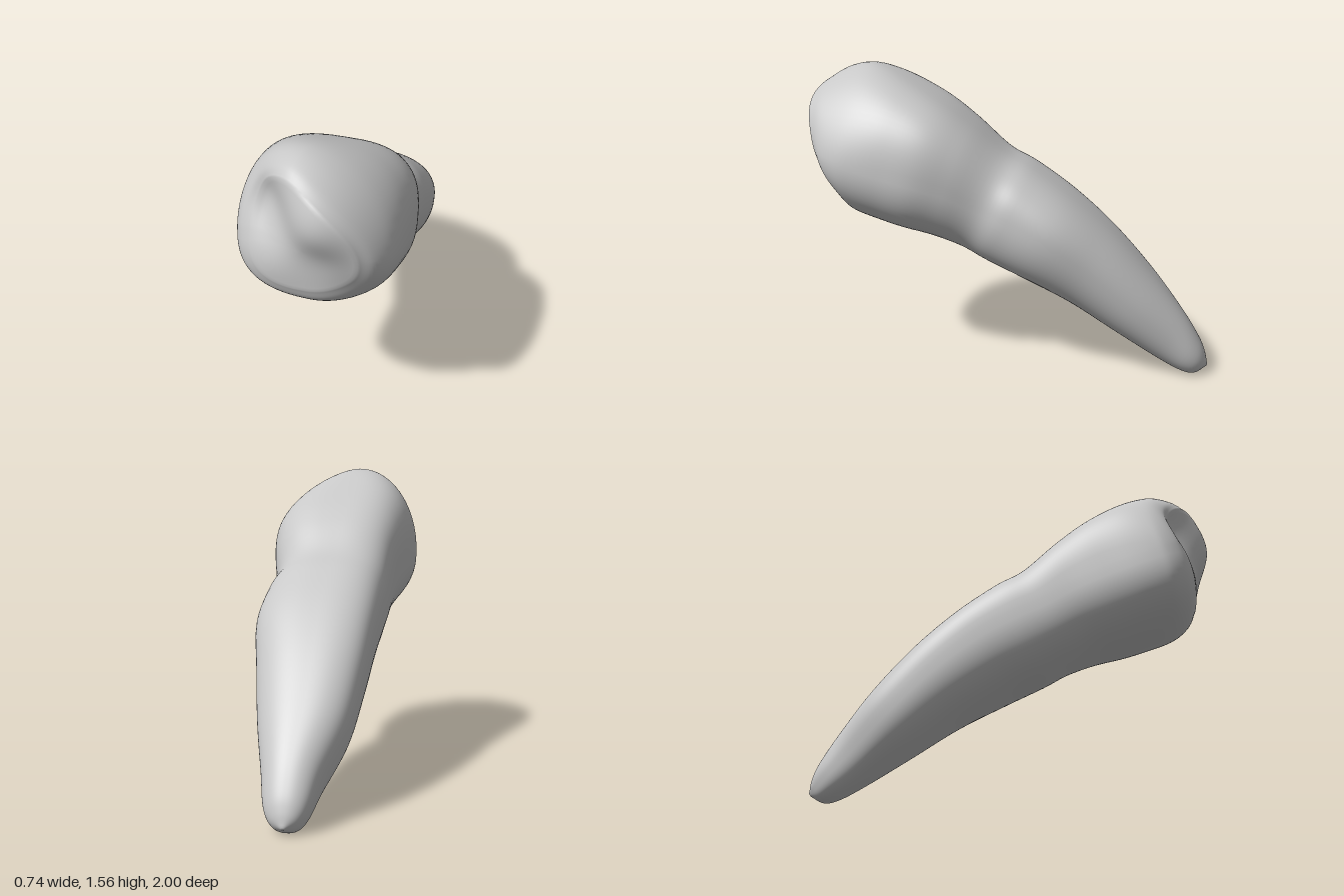
import * as THREE from 'three';
import { mergeVertices } from 'three/addons/utils/BufferGeometryUtils.js';

// Cross-sections from root tip to crown:
// top z, top y, bottom z, bottom y, min x, max x, height of widest level (0..1),
// roundness exponent of the upper half, strength of the chewing surface shape
const SECTIONS = [
  [-1.0, 0.045, -0.99, 0.03, -0.03, -0.01, 0.5, 2, 0],
  [-0.985, 0.11, -0.93, 0.0, -0.085, 0.05, 0.5, 2, 0],
  [-0.95, 0.19, -0.86, 0.015, -0.12, 0.09, 0.5, 2, 0],
  [-0.86, 0.33, -0.74, 0.08, -0.155, 0.125, 0.5, 2.1, 0],
  [-0.7, 0.53, -0.52, 0.22, -0.235, 0.19, 0.52, 2.2, 0],
  [-0.5, 0.75, -0.28, 0.38, -0.27, 0.25, 0.55, 2.3, 0],
  [-0.3, 0.93, -0.04, 0.51, -0.285, 0.305, 0.57, 2.4, 0],
  [-0.1, 1.07, 0.14, 0.59, -0.295, 0.3, 0.55, 2.4, 0],
  [0.04, 1.145, 0.26, 0.65, -0.3, 0.285, 0.52, 2.4, 0],
  [0.2, 1.285, 0.4, 0.71, -0.31, 0.33, 0.49, 2.7, 0],
  [0.34, 1.39, 0.55, 0.75, -0.335, 0.365, 0.46, 2.7, 0.03],
  [0.5, 1.48, 0.68, 0.785, -0.36, 0.365, 0.43, 2.35, 0.15],
  [0.64, 1.54, 0.78, 0.815, -0.37, 0.355, 0.41, 1.95, 0.35],
  [0.74, 1.555, 0.84, 0.845, -0.365, 0.335, 0.4, 1.75, 0.6],
  [0.83, 1.53, 0.885, 0.89, -0.33, 0.295, 0.41, 1.7, 0.85],
  [0.88, 1.49, 0.905, 0.95, -0.27, 0.235, 0.42, 1.8, 1],
];
const NECK = 8; // section where root meets crown
const STEPS = 6, SIDES = 72, CAP = 14;
const TILT = 0.17;

// Chewing surface relief: x, y, width x, width y, height
const RELIEF = [
  [0.05, 1.34, 0.14, 0.15, 0.105],
  [-0.2, 1.04, 0.13, 0.12, 0.035],
  [-0.2, 1.33, 0.09, 0.11, -0.085],
  [0.06, 1.15, 0.1, 0.08, -0.015],
  [0.26, 0.9, 0.12, 0.12, -0.07],
];
const relief = (x, y) => RELIEF.reduce((sum, [cx, cy, wx, wy, h]) =>
  sum + h * Math.exp(-0.5 * (((x - cx) / wx) ** 2 + ((y - cy) / wy) ** 2)), 0);

// Smooth interpolation of the section table, three columns per curve
const curves = [0, 3, 6].map((k) => new THREE.CatmullRomCurve3(
  SECTIONS.map((r) => new THREE.Vector3(r[k], r[k + 1], r[k + 2])), false, 'catmullrom', 0.5));

function ring(t, scale = 1) {
  const [zt, yt, zb, yb, x0, x1, wide, upper, front] = curves.flatMap((c) => c.getPoint(t).toArray());
  const cx = (x0 + x1) / 2, half = (x1 - x0) / 2;
  const points = [];
  for (let j = 0; j < SIDES; j++) {
    const a = (j / SIDES) * Math.PI * 2;
    const c = Math.cos(a), s = Math.sin(a);
    // The right side (-x) is squarer than the left
    const n = s < 0 ? (c < 0 ? 2.8 : 2.05) : upper + (c < 0 ? 0.4 * (1 - front) : 0);
    const px = Math.sign(c) * Math.abs(c) ** (2 / n);
    const py = Math.sign(s) * Math.abs(s) ** (2 / n);
    const f = wide + scale * py * (s < 0 ? wide : 1 - wide);
    const x = cx + scale * (half * px - 0.06 * front * Math.max(0, s) ** 2);
    const y = yb + (yt - yb) * f;
    const z = zb + (zt - zb) * f + front * (TILT * x + relief(x, y));
    points.push(x, y, z);
  }
  return points;
}

function toothGeometry() {
  const spans = (SECTIONS.length - 1) * STEPS;
  const rings = [ring(0, 0)];
  for (let i = 0; i <= spans; i++) rings.push(ring(i / spans));
  for (let i = CAP - 1; i >= 0; i--) rings.push(ring(1, i / CAP));
  const index = [];
  for (let i = 0; i < rings.length - 1; i++) {
    for (let j = 0; j < SIDES; j++) {
      const k = (j + 1) % SIDES;
      const a = i * SIDES + j, b = i * SIDES + k, c = b + SIDES, d = a + SIDES;
      index.push(a, b, c, a, c, d);
    }
  }
  const geometry = new THREE.BufferGeometry();
  geometry.setAttribute('position', new THREE.Float32BufferAttribute(rings.flat(), 3));
  geometry.setIndex(index);
  const merged = mergeVertices(geometry, 1e-5);
  merged.computeVertexNormals();
  return merged;
}

export function createModel() {
  const group = new THREE.Group();
  group.name = 'tooth';
  const enamel = new THREE.MeshStandardMaterial({ color: 0xc8c8c8 });
  enamel.name = 'pale grey';

  // Root and crown share one smooth surface, split at the neck
  const whole = toothGeometry();
  const all = Array.from(whole.index.array);
  const split = (NECK * STEPS + 1) * SIDES * 6;
  const parts = { root: all.slice(0, split), crown: all.slice(split) };
  for (const [name, index] of Object.entries(parts)) {
    const geometry = whole.clone();
    geometry.setIndex(index);
    const mesh = new THREE.Mesh(geometry, enamel);
    mesh.name = name;
    group.add(mesh);
  }
  return group;
}
